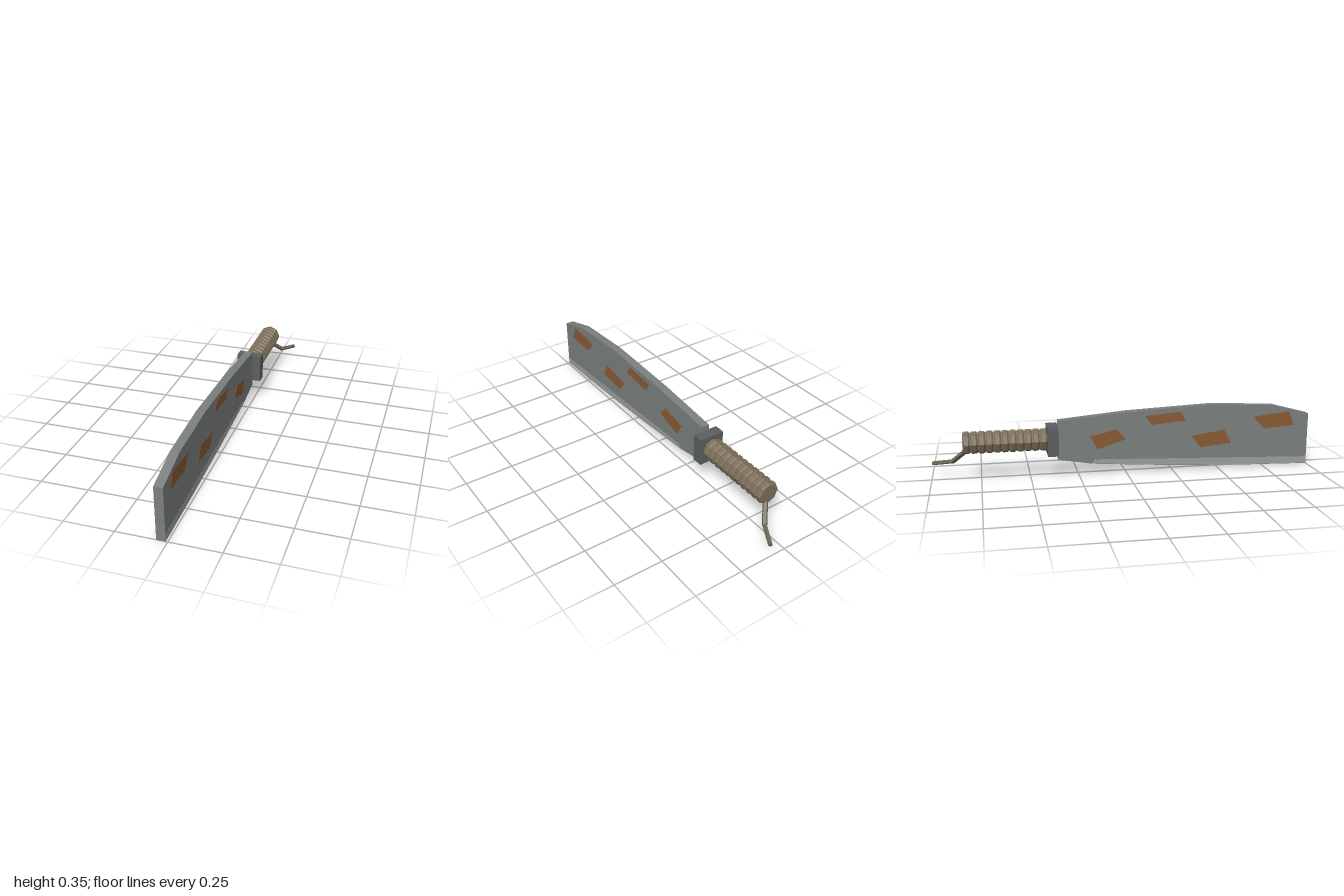
import * as THREE from 'three';

const CX = -0.031; // blade and handle sit slightly off centre
const HANDLE_Y = 0.197;

const paint = (color) => new THREE.MeshStandardMaterial({ color, flatShading: true });

export function createModel() {
  const model = new THREE.Group();
  const steel = paint(0x7b807e);
  const edgeSteel = paint(0x9b9f9d);
  const darkSteel = paint(0x5c6060);
  const rust = paint(0x8a5a34);
  const wrapCloth = paint(0x7d705b);
  const cord = paint(0x6e6857);

  const add = (name, geometry, material) => {
    const mesh = new THREE.Mesh(geometry, material);
    mesh.name = name;
    model.add(mesh);
    return mesh;
  };

  // Plate cut from a (z, y) outline, with its thickness along x
  const plate = (name, outline, width, material) => {
    const shape = new THREE.Shape(outline.map(([z, y]) => new THREE.Vector2(z, y)));
    const geometry = new THREE.ExtrudeGeometry(shape, { depth: width, bevelEnabled: false });
    geometry.translate(0, 0, -width / 2).rotateY(-Math.PI / 2).translate(CX, 0, 0);
    return add(name, geometry, material);
  };

  // Broad blade with a blunt tip
  plate('blade', [
    [1, 0.002], [0.6, 0.013], [0.2, 0.033], [-0.18, 0.06], [-0.357, 0.09],
    [-0.357, 0.295], [0, 0.328], [0.46, 0.35], [0.8, 0.333], [1, 0.28],
  ], 0.044, steel);

  // Lighter ground strip on both faces along the cutting edge
  plate('cuttingEdge', [
    [0.999, 0.004], [0.6, 0.015], [0.2, 0.035], [-0.18, 0.062], [-0.17, 0.083], [0.999, 0.04],
  ], 0.0452, edgeSteel);

  // Rust patches showing on both faces
  [
    [[0.89, 0.297], [0.69, 0.275], [0.75, 0.208], [0.92, 0.22]],
    [[0.53, 0.211], [0.35, 0.185], [0.4, 0.121], [0.57, 0.136]],
    [[0.29, 0.318], [0.1, 0.302], [0.136, 0.254], [0.32, 0.27]],
    [[-0.05, 0.238], [-0.19, 0.206], [-0.152, 0.136], [-0.003, 0.184]],
  ].forEach((outline, i) => plate(`rustPatch${i + 1}`, outline, 0.0462, rust));

  // Guard
  add('guard', new THREE.BoxGeometry(0.134, 0.148, 0.056), darkSteel)
    .position.set(CX, 0.194, -0.385);

  // Octagonal grip core
  const core = new THREE.CylinderGeometry(0.051, 0.051, 0.43, 8).rotateX(Math.PI / 2);
  add('gripCore', core, wrapCloth).position.set(CX, HANDLE_Y, -0.622);

  // Wound bands around the grip
  const band = new THREE.LatheGeometry([
    [0.05, -0.0185], [0.0585, -0.01], [0.0585, 0.01], [0.05, 0.0185],
  ].map(([r, h]) => new THREE.Vector2(r, h)), 8).rotateX(Math.PI / 2);
  const bands = 11;
  for (let i = 0; i < bands; i++) {
    add(`gripBand${i + 1}`, band, wrapCloth)
      .position.set(CX, HANDLE_Y, -0.431 - i * 0.0388);
  }

  // Loose cord end trailing from the back of the grip
  const path = [
    new THREE.Vector3(-0.025, 0.152, -0.825),
    new THREE.Vector3(0.033, 0.086, -0.893),
    new THREE.Vector3(0.084, 0.067, -0.994),
  ];
  for (let i = 0; i < 2; i++) {
    const dir = path[i + 1].clone().sub(path[i]);
    const radius = 0.013 - i * 0.002;
    const piece = add(`cordPiece${i + 1}`,
      new THREE.CylinderGeometry(radius, radius, dir.length() + 0.004, 5), cord);
    piece.position.copy(path[i]).addScaledVector(dir, 0.5);
    piece.quaternion.setFromUnitVectors(new THREE.Vector3(0, 1, 0), dir.normalize());
  }

  return model;
}
